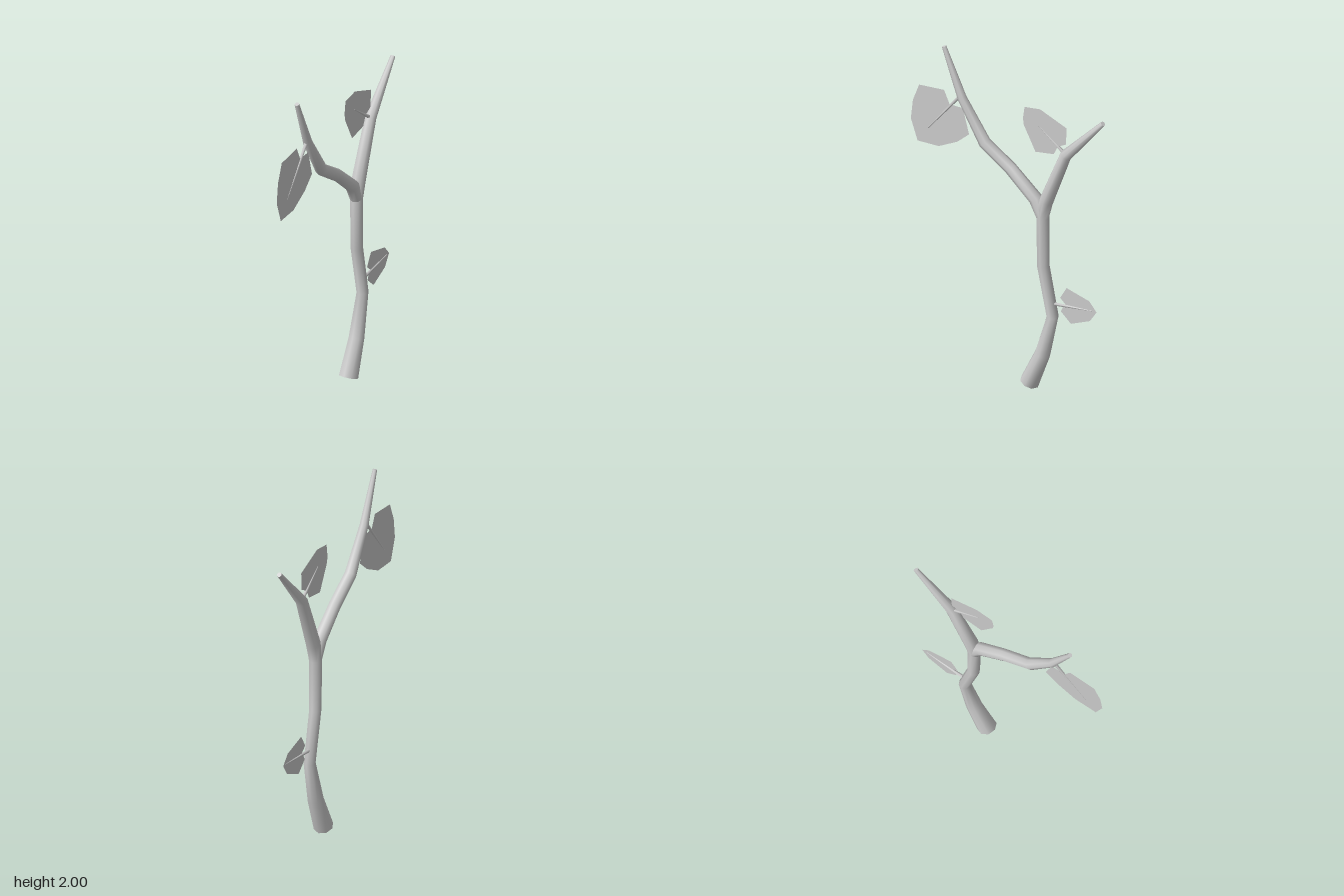
import * as THREE from 'three';

const grey = new THREE.MeshStandardMaterial({ color: 0xcccccc });
const leafGrey = new THREE.MeshStandardMaterial({ color: 0xcccccc, side: THREE.DoubleSide });

// Limb lying in the x = 0 plane: sections are [z, y, radius], rings mitred at each joint.
function limb(name, sections, sides = 8) {
  const pos = [], index = [];
  const pts = sections.map(([z, y]) => new THREE.Vector3(0, y, z));
  const dir = (i) => pts[i + 1].clone().sub(pts[i]).normalize();
  const last = pts.length - 1;
  const ring = (i) => {
    const t = dir(Math.min(i, last - 1)).add(dir(Math.max(i - 1, 0))).normalize();
    const r = sections[i][2];
    for (let j = 0; j < sides; j++) {
      const a = (j / sides) * Math.PI * 2;
      const n = r * Math.cos(a);
      pos.push(r * Math.sin(a), pts[i].y - n * t.z, pts[i].z + n * t.y);
    }
  };
  pts.forEach((_, i) => ring(i));
  for (let i = 0; i < last; i++) {
    for (let j = 0; j < sides; j++) {
      const a = i * sides + j, b = i * sides + (j + 1) % sides;
      index.push(a, b, b + sides, a, b + sides, a + sides);
    }
  }
  // flat end caps on their own vertices
  for (const end of [0, last]) {
    const s = pos.length / 3;
    ring(end);
    for (let j = 1; j < sides - 1; j++) {
      if (end) index.push(s, s + j, s + j + 1);
      else index.push(s, s + j + 1, s + j);
    }
  }
  const geo = new THREE.BufferGeometry();
  geo.setAttribute('position', new THREE.Float32BufferAttribute(pos, 3));
  geo.setIndex(index);
  geo.computeVertexNormals();
  const mesh = new THREE.Mesh(geo, grey);
  mesh.name = name;
  return mesh;
}

// Flat leaf blade from a [z, y] outline, with a thin tapering stem
function leaf(name, outline, from, to) {
  const group = new THREE.Group();
  group.name = name;
  const geo = new THREE.ShapeGeometry(new THREE.Shape(outline.map(([z, y]) => new THREE.Vector2(z, y))));
  geo.rotateY(-Math.PI / 2);
  const blade = new THREE.Mesh(geo, leafGrey);
  blade.name = 'blade';
  group.add(blade, limb('stem', [[...from, 0.011], [...to, 0.002]], 5));
  return group;
}

export function createModel() {
  const model = new THREE.Group();
  model.name = 'branch';

  // trunk running on into the rear fork
  model.add(limb('trunkAndRearFork', [
    [-0.138, 0.02, 0.056], [-0.222, 0.227, 0.045], [-0.285, 0.483, 0.034],
    [-0.225, 0.79, 0.035], [-0.222, 1.1, 0.037], [-0.246, 1.21, 0.041],
    [-0.37, 1.537, 0.034], [-0.608, 1.812, 0.014],
  ]));

  // front fork, rooted inside the trunk
  model.add(limb('frontFork', [
    [-0.222, 1.1, 0.036], [-0.177, 1.2, 0.039], [-0.018, 1.344, 0.036],
    [0.15, 1.46, 0.035], [0.295, 1.7, 0.026], [0.41, 1.994, 0.013],
  ]));

  model.add(leaf('frontLeaf', [
    [0.57, 1.7], [0.41, 1.715], [0.375, 1.635], [0.29, 1.635], [0.25, 1.48],
    [0.325, 1.41], [0.445, 1.345], [0.58, 1.34], [0.623, 1.47], [0.61, 1.59],
  ], [0.3, 1.72], [0.513, 1.44]));

  model.add(leaf('rearLeaf', [
    [-0.105, 1.765], [-0.205, 1.78], [-0.375, 1.71], [-0.37, 1.605], [-0.318, 1.577],
    [-0.292, 1.52], [-0.175, 1.5], [-0.1, 1.65], [-0.095, 1.69],
  ], [-0.355, 1.55], [-0.196, 1.672]));

  model.add(leaf('lowerLeaf', [
    [-0.375, 0.69], [-0.52, 0.65], [-0.566, 0.593], [-0.524, 0.525], [-0.402, 0.47],
    [-0.338, 0.53], [-0.355, 0.57], [-0.365, 0.585], [-0.333, 0.615],
  ], [-0.28, 0.564], [-0.54, 0.594]));

  return model;
}
